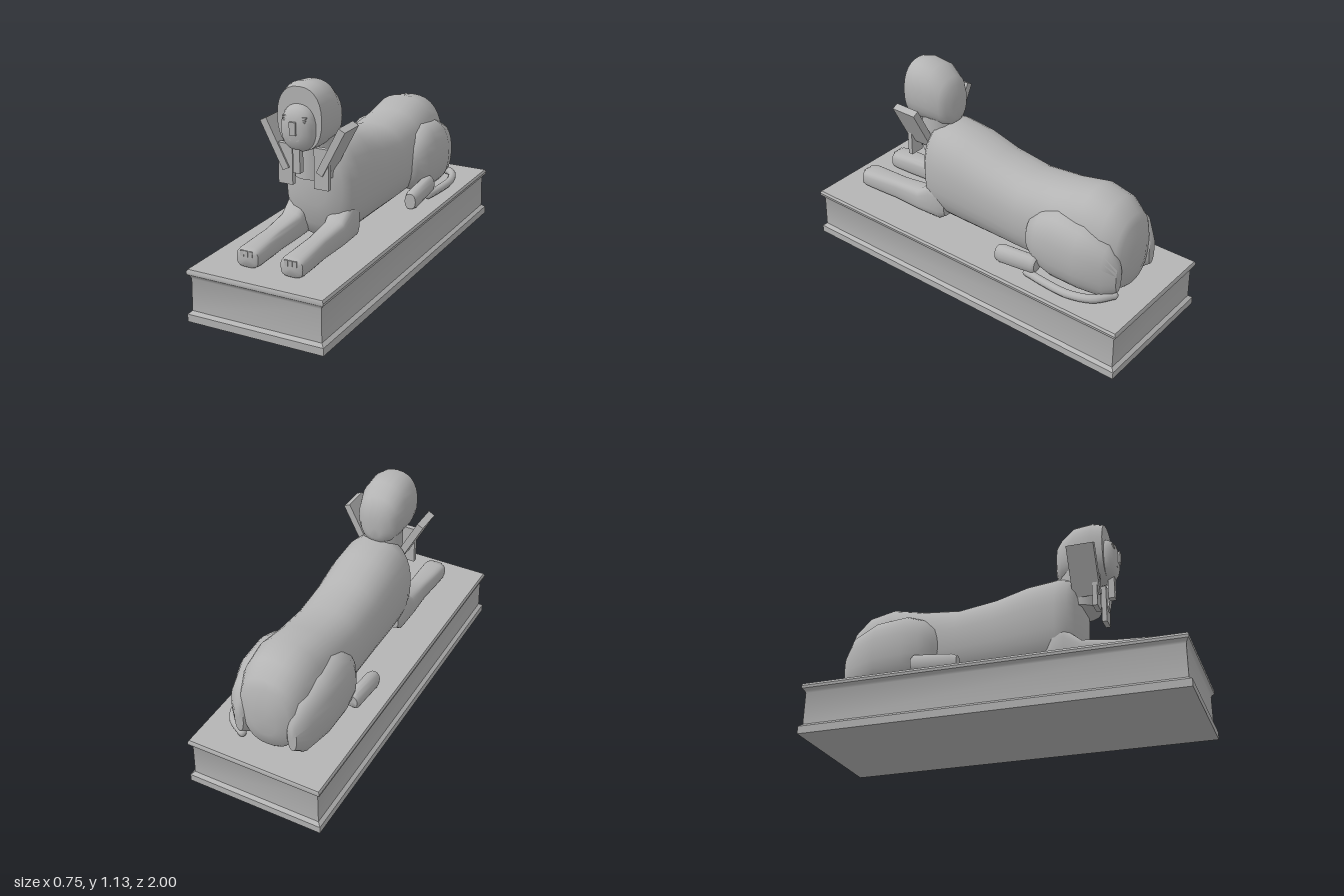
import * as THREE from 'three';
import { toCreasedNormals } from 'three/addons/utils/BufferGeometryUtils.js';

const stone = new THREE.MeshStandardMaterial({ color: 0xb4b4b4 });
stone.name = 'grey stone';

// Capped loft along z: sections are [z, centreX, centreY, radiusX, radiusY], with superellipse exponent e
function loft(sections, e = 2.3, n = 24, crease = 0.8) {
  const pos = [], idx = [];
  for (const [z, cx, cy, rx, ry] of sections) {
    for (let j = 0; j < n; j++) {
      const a = (j / n) * Math.PI * 2, c = Math.cos(a), s = Math.sin(a);
      pos.push(cx + rx * Math.sign(c) * Math.abs(c) ** (2 / e),
        cy + ry * Math.sign(s) * Math.abs(s) ** (2 / e), z);
    }
  }
  const m = sections.length;
  for (let i = 0; i < m - 1; i++) {
    for (let j = 0; j < n; j++) {
      const k = (j + 1) % n, a = i * n + j, b = i * n + k;
      idx.push(a, b, b + n, a, b + n, a + n);
    }
  }
  for (const s of [sections[0], sections[m - 1]]) pos.push(s[1], s[2], s[0]);
  for (let j = 0; j < n; j++) {
    const k = (j + 1) % n, o = (m - 1) * n;
    idx.push(m * n, k, j, m * n + 1, o + j, o + k);
  }
  const g = new THREE.BufferGeometry();
  g.setAttribute('position', new THREE.Float32BufferAttribute(pos, 3));
  g.setIndex(idx);
  return toCreasedNormals(g, crease);
}

// Rectangular moulding: rings are [y, halfX, halfZ], from bottom to top
function moulding(rings) {
  const pos = [], idx = [], m = rings.length;
  for (const [y, x, z] of rings) pos.push(x, y, z, x, y, -z, -x, y, -z, -x, y, z);
  for (let i = 0; i < m - 1; i++) {
    for (let j = 0; j < 4; j++) {
      const a = i * 4 + j, b = i * 4 + (j + 1) % 4;
      idx.push(a, b, b + 4, a, b + 4, a + 4);
    }
  }
  const t = (m - 1) * 4;
  idx.push(0, 2, 1, 0, 3, 2, t, t + 1, t + 2, t, t + 2, t + 3);
  const g = new THREE.BufferGeometry();
  g.setAttribute('position', new THREE.Float32BufferAttribute(pos, 3));
  g.setIndex(idx);
  return toCreasedNormals(g, 0.6);
}

export function createModel() {
  const model = new THREE.Group();
  model.name = 'recliningStatue';
  const add = (name, geometry, x = 0, y = 0, z = 0, rz = 0) => {
    const mesh = new THREE.Mesh(geometry, stone);
    mesh.name = name;
    mesh.position.set(x, y, z);
    mesh.rotation.z = rz;
    model.add(mesh);
    return mesh;
  };
  const box = (name, w, h, d, x, y, z, rz) => add(name, new THREE.BoxGeometry(w, h, d), x, y, z, rz);

  // Plinth with moulded foot and rim
  add('plinth', moulding([
    [0, 0.375, 1], [0.04, 0.375, 1], [0.055, 0.357, 0.982], [0.225, 0.355, 0.98],
    [0.237, 0.36, 0.985], [0.248, 0.372, 0.996], [0.262, 0.374, 0.998], [0.275, 0.367, 0.992],
  ]));

  // Body, from rump to chest: [z, half width, bottom, top]
  const body = [
    [-0.872, 0.07, 0.38, 0.56], [-0.85, 0.13, 0.30, 0.65], [-0.83, 0.155, 0.28, 0.69],
    [-0.75, 0.187, 0.27, 0.755], [-0.62, 0.2, 0.27, 0.78], [-0.45, 0.2, 0.27, 0.742],
    [-0.24, 0.198, 0.27, 0.72], [-0.03, 0.198, 0.27, 0.752], [0.14, 0.204, 0.27, 0.80],
    [0.3, 0.2, 0.27, 0.82], [0.36, 0.185, 0.29, 0.81], [0.395, 0.15, 0.36, 0.77], [0.418, 0.08, 0.47, 0.69],
  ];
  add('body', loft(body.map(([z, w, b, t]) => [z, 0, (b + t) / 2, w, (t - b) / 2]), 2.35, 32));

  for (const s of [1, -1]) {
    const side = s > 0 ? 'left' : 'right';
    const mirror = (rows) => rows.map(([z, x, ...r]) => [z, s * x, ...r]);

    add(side + 'Haunch', loft(mirror([
      [-0.86, 0.15, 0.41, 0.025, 0.08], [-0.8, 0.15, 0.435, 0.08, 0.155], [-0.66, 0.15, 0.465, 0.122, 0.187],
      [-0.5, 0.15, 0.473, 0.122, 0.195], [-0.41, 0.15, 0.47, 0.11, 0.165], [-0.345, 0.15, 0.47, 0.075, 0.11],
      [-0.32, 0.15, 0.475, 0.04, 0.05],
    ]), 2.3, 24));

    // Foreleg with a raised shoulder and a squared paw
    add(side + 'Foreleg', loft(mirror([
      [0.25, 0.12, 0.355, 0.05, 0.05], [0.285, 0.122, 0.38, 0.068, 0.1], [0.345, 0.123, 0.38, 0.068, 0.102],
      [0.43, 0.123, 0.344, 0.062, 0.068], [0.6, 0.122, 0.333, 0.053, 0.058], [0.72, 0.122, 0.328, 0.06, 0.054],
      [0.82, 0.122, 0.325, 0.064, 0.05], [0.845, 0.122, 0.324, 0.06, 0.046], [0.853, 0.122, 0.324, 0.048, 0.038],
    ]), 3.2, 24));
    for (const i of [-1, 0, 1]) {
      box(side + 'Toe', 0.018, 0.03, 0.008, s * 0.122 + i * 0.024, 0.35, 0.852);
    }

    // Hind paw beside the haunch
    add(side + 'HindPaw', loft(mirror([
      [-0.44, 0.25, 0.355, 0.03, 0.035], [-0.425, 0.25, 0.352, 0.04, 0.05],
      [-0.22, 0.25, 0.329, 0.04, 0.052], [-0.19, 0.25, 0.325, 0.032, 0.043],
    ]), 2.2, 16));

    // Headcloth wings and hanging lappets
    box(side + 'ClothWing', 0.038, 0.27, 0.145, s * 0.155, 0.8, 0.452, -s * 0.48);
    box(side + 'Lappet', 0.08, 0.21, 0.026, s * 0.1, 0.705, 0.502);

    // Brow and eyelids
    box(side + 'Brow', 0.045, 0.006, 0.012, s * 0.042, 0.977, 0.588);
    box(side + 'Eye', 0.036, 0.006, 0.012, s * 0.043, 0.963, 0.59);
    box(side + 'LowerLid', 0.024, 0.005, 0.012, s * 0.046, 0.954, 0.59);
  }

  // Neck, headcloth and face
  add('neck', new THREE.CylinderGeometry(0.105, 0.11, 0.21, 16), 0, 0.737, 0.39);
  add('headcloth', loft([
    [0.275, 0, 0.90, 0.04, 0.06], [0.29, 0, 0.92, 0.085, 0.11], [0.32, 0, 0.93, 0.112, 0.135],
    [0.39, 0, 0.957, 0.131, 0.163], [0.485, 0, 0.96, 0.134, 0.17], [0.545, 0, 0.955, 0.122, 0.16],
  ], 2.35, 28, 0.9));
  add('face', loft([
    [0.48, 0, 0.912, 0.092, 0.117], [0.55, 0, 0.912, 0.092, 0.118], [0.575, 0, 0.912, 0.083, 0.106],
    [0.592, 0, 0.913, 0.065, 0.085], [0.601, 0, 0.915, 0.042, 0.056], [0.605, 0, 0.917, 0.015, 0.02],
  ], 2.3, 28));
  box('nose', 0.034, 0.065, 0.03, 0, 0.923, 0.6);
  box('mouth', 0.052, 0.01, 0.016, 0, 0.866, 0.593);
  box('beard', 0.038, 0.13, 0.034, 0, 0.755, 0.562);

  // Tail curled along the left flank, with rounded ends
  const path = new THREE.CatmullRomCurve3([
    [0.15, 0.3, -0.84], [0.24, 0.303, -0.78], [0.284, 0.3, -0.66], [0.284, 0.3, -0.53], [0.268, 0.3, -0.39],
  ].map((p) => new THREE.Vector3(...p)));
  add('tail', new THREE.TubeGeometry(path, 20, 0.022, 10));
  for (const t of [0, 1]) {
    const p = path.getPoint(t);
    add('tailEnd', new THREE.SphereGeometry(0.022, 10, 8), p.x, p.y, p.z);
  }
  return model;
}
